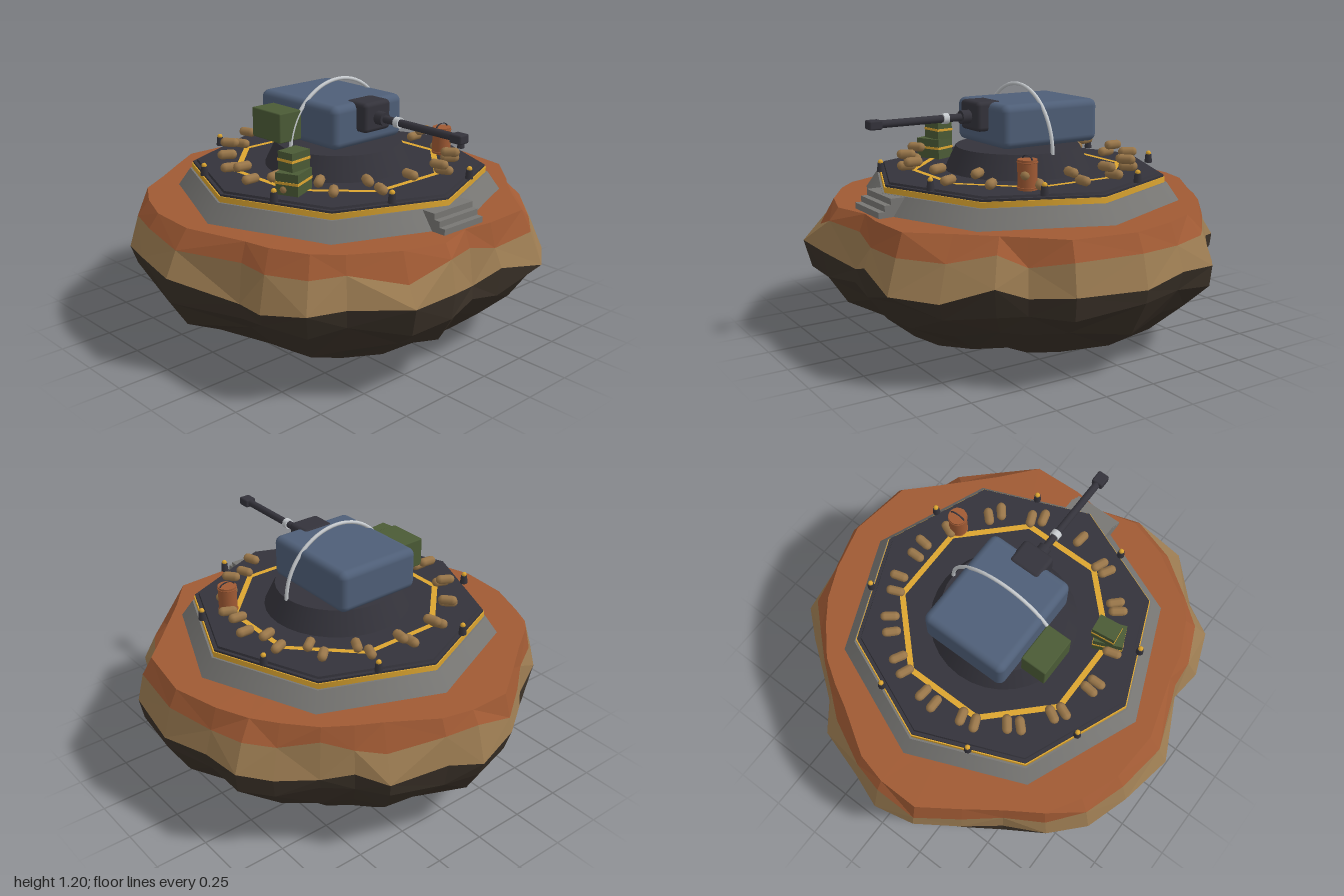
import * as THREE from 'three';
import { RoundedBoxGeometry } from 'three/addons/geometries/RoundedBoxGeometry.js';

const mat = (name, color) => {
  const m = new THREE.MeshStandardMaterial({ color });
  m.name = name;
  return m;
};

export function createModel() {
  const M = {
    darkRock: mat('darkRock', 0x3a3128),
    tanRock: mat('tanRock', 0x9c7c52),
    rust: mat('rust', 0xa05a34),
    concrete: mat('concrete', 0x787774),
    metal: mat('darkMetal', 0x34333b),
    yellow: mat('yellow', 0xdca530),
    blue: mat('blueSteel', 0x4f5f78),
    green: mat('green', 0x4b5b36),
    silver: mat('silver', 0xc6cace),
    sack: mat('sack', 0x9a774a),
  };
  const CZ = 0.046; // platform centre in z
  const root = new THREE.Group();
  root.name = 'islandTurret';

  const add = (name, geo, material, x = 0, y = 0, z = 0, parent = root) => {
    const m = new THREE.Mesh(geo, material);
    m.name = name;
    m.position.set(x, y, z);
    parent.add(m);
    return m;
  };
  const group = (name, x = 0, y = 0, z = 0) => {
    const g = new THREE.Group();
    g.name = name;
    g.position.set(x, y, z);
    root.add(g);
    return g;
  };
  const box = (w, h, d) => new THREE.BoxGeometry(w, h, d);
  const octagon = (rTop, rBottom, h) => new THREE.CylinderGeometry(rTop, rBottom, h, 8);

  // Rock outline from +x towards +z: x, z, size of the flat top's rim at that point
  const outline = [
    [1, 0.04, 0.92], [0.95, 0.37, 0.92], [0.81, 0.51, 0.92], [0.76, 0.64, 0.87], [0.62, 0.82, 0.85],
    [0.43, 0.96, 0.9], [0.16, 0.94, 0.93], [0, 0.91, 0.94], [-0.2, 0.985, 0.92], [-0.44, 0.985, 0.86],
    [-0.64, 0.79, 0.91], [-0.79, 0.71, 0.87], [-0.87, 0.51, 0.88], [-0.85, 0.35, 0.93], [-1, 0.03, 0.88],
    [-0.95, -0.24, 0.91], [-0.88, -0.45, 0.9], [-0.74, -0.6, 0.94], [-0.55, -0.69, 0.97], [-0.4, -0.82, 0.95],
    [-0.21, -0.95, 0.95], [0, -0.99, 0.91], [0.16, -0.93, 0.93], [0.42, -0.85, 0.86], [0.51, -0.72, 0.93],
    [0.63, -0.63, 0.94], [0.79, -0.51, 0.9], [0.91, -0.4, 0.87], [0.935, -0.21, 0.92],
  ];
  const N = outline.length;
  const noise = (i, j) => {
    const s = Math.sin(i * 127.1 + (j % N) * 311.7) * 43758.5453;
    return (s - Math.floor(s)) * 2 - 1;
  };
  // [height, radius factor, height jitter, radius jitter, roundness, weight of the rim size]
  const rings = [
    [0, 0, 0, 0, 1, 0], [0.005, 0.46, 0.004, 0.05, 1, 0], [0.1, 0.72, 0.025, 0.035, 0.8, 0],
    [0.22, 0.89, 0.03, 0.025, 0.5, 0], [0.34, 0.98, 0.025, 0.015, 0.15, 0], [0.43, 1, 0.04, 0, 0, 0],
    [0.565, 1, 0.035, 0.008, 0, 0.5], [0.655, 1, 0, 0, 0, 1], [0.657, 0.6, 0, 0, 0, 0], [0.657, 0, 0, 0, 0, 0],
  ];
  const rockPoint = (i, j) => {
    const [y, f, jy, jr, round, rimWeight] = rings[i];
    const [x, z, rim] = outline[j % N];
    const lobe = 1 + round * (0.97 / Math.hypot(x, z) - 1);
    const r = (f + jr * noise(i, j)) * lobe * (1 + rimWeight * (rim - 1));
    return [x * r, y + jy * noise(i + 20, j), z * r];
  };
  const rockBand = (name, from, to, material) => {
    const p = [];
    for (let i = from; i < to; i++) {
      for (let j = 0; j < N; j++) {
        const a = rockPoint(i, j), b = rockPoint(i + 1, j);
        const c = rockPoint(i + 1, j + 1), d = rockPoint(i, j + 1);
        if ((i + j) % 2) p.push(...a, ...b, ...d, ...b, ...c, ...d);
        else p.push(...a, ...b, ...c, ...a, ...c, ...d);
      }
    }
    const g = new THREE.BufferGeometry();
    g.setAttribute('position', new THREE.Float32BufferAttribute(p, 3));
    g.computeVertexNormals();
    add(name, g, material);
  };
  rockBand('rockUnderside', 0, 5, M.darkRock);
  rockBand('rockMiddle', 5, 6, M.tanRock);
  rockBand('rockTop', 6, 9, M.rust);

  // Octagonal platform
  add('platformBase', octagon(0.722, 0.785, 0.09), M.concrete, 0, 0.695, CZ);
  add('platformTrim', octagon(0.712, 0.712, 0.027), M.yellow, 0, 0.7525, CZ);
  add('deckEdge', octagon(0.706, 0.706, 0.02), M.metal, 0, 0.766, CZ);
  add('deck', octagon(0.685, 0.69, 0.014), M.metal, 0, 0.779, CZ);
  const line = add('deckLine', new THREE.RingGeometry(0.49, 0.52, 8, 1, Math.PI / 8), M.yellow, 0, 0.789, CZ);
  line.rotation.x = -Math.PI / 2;

  // Front steps
  for (let i = 0; i < 3; i++) {
    const depth = 0.165 - i * 0.03;
    add('step', box(0.25, 0.028, depth), M.concrete, 0, 0.669 + i * 0.028, 0.682 + depth / 2);
  }

  // Edge lamps
  for (let k = 0; k < 8; k++) {
    const a = Math.PI / 8 + (k * Math.PI) / 4;
    const lamp = group('edgeLamp', Math.cos(a) * 0.66, 0.785, CZ + Math.sin(a) * 0.66);
    add('lampPost', new THREE.CylinderGeometry(0.015, 0.019, 0.042, 8), M.metal, 0, 0.021, 0, lamp);
    add('lampBulb', new THREE.SphereGeometry(0.013, 8, 6), M.yellow, 0, 0.046, 0, lamp);
  }

  // Two staggered layers of radial sandbags
  const bag = new THREE.CapsuleGeometry(0.023, 0.046, 4, 8);
  for (let k = 0; k < 16; k++) {
    for (let layer = 0; layer < 2; layer++) {
      if (k === 4 && layer === 0) continue; // gap behind the steps
      const a = (k * Math.PI) / 8 + layer * 0.115;
      const m = add('sandbag', bag, M.sack, Math.cos(a) * 0.537, 0.81 + layer * 0.044, CZ + Math.sin(a) * 0.537);
      m.rotation.set(0, -a, Math.PI / 2);
    }
  }

  // Turret pedestal, body and side pod
  add('pedestal', new THREE.CylinderGeometry(0.3, 0.355, 0.115, 32), M.metal, 0, 0.84, CZ);
  add('turretBody', new RoundedBoxGeometry(0.44, 0.205, 0.53, 3, 0.035), M.blue, 0, 1.018, -0.007);
  add('sidePod', new RoundedBoxGeometry(0.13, 0.14, 0.2, 1, 0.006), M.green, -0.303, 1.01, -0.047);
  add('archRail', new THREE.TorusGeometry(0.3, 0.009, 8, 32, Math.PI), M.silver, 0, 0.89, CZ);

  // Gun
  const gun = group('gun', 0, 1.052, 0);
  add('mantlet', new RoundedBoxGeometry(0.165, 0.14, 0.135, 2, 0.02), M.metal, 0, 0.004, 0.248, gun);
  const tube = (name, r, z0, z1, material) => {
    const m = add(name, new THREE.CylinderGeometry(r, r, z1 - z0, 12), material, 0, 0, (z0 + z1) / 2, gun);
    m.rotation.x = Math.PI / 2;
  };
  tube('barrelCollar', 0.032, 0.3, 0.36, M.metal);
  tube('barrel', 0.018, 0.3, 0.78, M.metal);
  tube('barrelRing', 0.025, 0.428, 0.456, M.silver);
  add('muzzle', new RoundedBoxGeometry(0.058, 0.042, 0.065, 1, 0.008), M.metal, 0, 0, 0.799, gun);

  // Stacked crates with painted straps
  const crate = (w, h, d, x, y, z, turn) => {
    const g = group('crate', x, y, z);
    g.rotation.y = turn;
    add('crateBox', box(w, h, d), M.green, 0, h / 2, 0, g);
    add('crateStrap', box(w + 0.004, 0.012, d + 0.004), M.yellow, 0, h * 0.55, 0, g);
  };
  crate(0.14, 0.1, 0.11, -0.46, 0.785, 0.255, 0.4);
  crate(0.115, 0.085, 0.085, -0.445, 0.885, 0.24, 0.12);

  // Fuel drum with handle
  const drum = group('drum', 0.467, 0.785, 0.293);
  add('drumBody', new THREE.CylinderGeometry(0.045, 0.045, 0.135, 16), M.rust, 0, 0.0675, 0, drum);
  for (const y of [0.012, 0.123]) {
    const hoop = add('drumHoop', new THREE.TorusGeometry(0.045, 0.003, 6, 16), M.rust, 0, y, 0, drum);
    hoop.rotation.x = Math.PI / 2;
  }
  const handle = add('drumHandle', new THREE.TorusGeometry(0.038, 0.004, 6, 12, Math.PI), M.metal, 0, 0.133, 0, drum);
  handle.scale.y = 0.5;

  return root;
}
